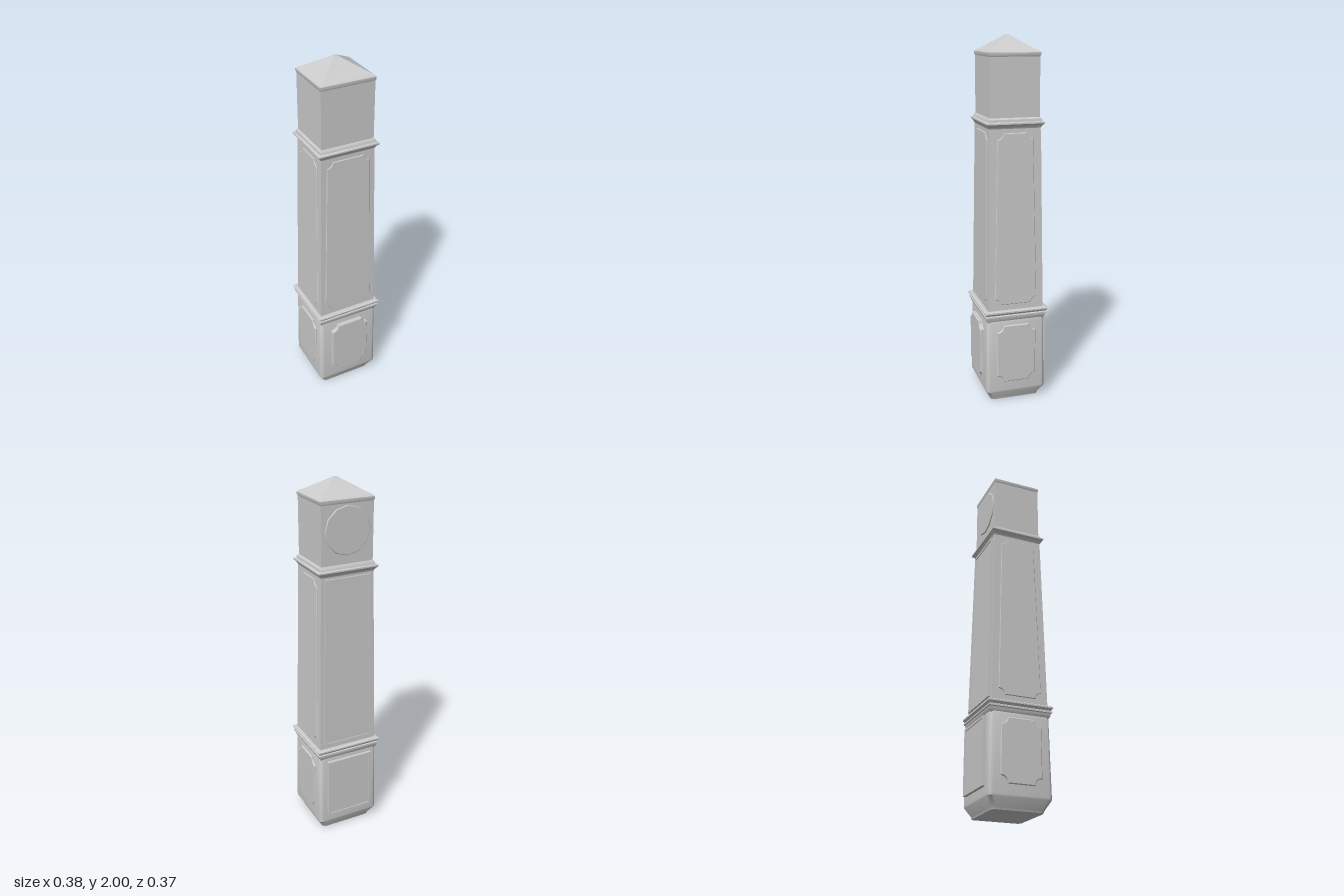
import * as THREE from 'three';
import { toCreasedNormals } from 'three/addons/utils/BufferGeometryUtils.js';

const material = new THREE.MeshStandardMaterial({ color: 0xcccccc });

// Stack of rectangles [y, halfX, halfZ], with optional rounded corners
function loft(name, rows, radius = 0) {
  const segs = radius ? 5 : 0;
  const n = 4 * (segs + 1);
  const pos = [], index = [];
  for (const [y, hx, hz] of rows) {
    for (let q = 0; q < 4; q++) {
      const sx = q === 0 || q === 3 ? 1 : -1, sz = q < 2 ? 1 : -1;
      for (let s = 0; s <= segs; s++) {
        const a = (q + (segs ? s / segs : 0.5)) * Math.PI / 2;
        pos.push(sx * (hx - radius) + radius * Math.cos(a), y, sz * (hz - radius) + radius * Math.sin(a));
      }
    }
  }
  const last = rows.length - 1, bottom = rows.length * n;
  pos.push(0, rows[0][0], 0, 0, rows[last][0], 0);
  for (let i = 0; i < n; i++) {
    const j = (i + 1) % n;
    for (let r = 0; r < last; r++) {
      const a = r * n + i, b = r * n + j;
      index.push(a, a + n, b, b, a + n, b + n);
    }
    index.push(bottom, i, j, bottom + 1, last * n + j, last * n + i);
  }
  const geo = new THREE.BufferGeometry();
  geo.setAttribute('position', new THREE.Float32BufferAttribute(pos, 3));
  geo.setIndex(index);
  const mesh = new THREE.Mesh(toCreasedNormals(geo, 0.5), material);
  mesh.name = name;
  return mesh;
}

// Tapered panel outline standing on y = 0, corners scooped inwards by radius r
function outline(wBottom, wTop, h, r = 0, inset = 0, Type = THREE.Shape) {
  const b = wBottom - inset, t = wTop - inset, lo = inset, hi = h - inset;
  const s = new Type();
  if (!r) {
    s.moveTo(-b, lo).lineTo(b, lo).lineTo(t, hi).lineTo(-t, hi).closePath();
    return s;
  }
  const P = Math.PI;
  s.moveTo(-b + r, lo).lineTo(b - r, lo);
  s.absarc(b, lo, r, P, P / 2, true);
  s.lineTo(t, hi - r);
  s.absarc(t, hi, r, -P / 2, -P, true);
  s.lineTo(-t + r, hi);
  s.absarc(-t, hi, r, 0, -P / 2, true);
  s.lineTo(-b, lo + r);
  s.absarc(-b, lo, r, P / 2, 0, true);
  return s;
}

// Extruded plate whose front lies on z = 0
function plate(name, shape, depth, bevel = 0) {
  const geo = new THREE.ExtrudeGeometry(shape, {
    depth: depth - bevel, curveSegments: 6, bevelEnabled: bevel > 0,
    bevelThickness: bevel, bevelSize: bevel, bevelOffset: -bevel, bevelSegments: 1,
  });
  geo.translate(0, 0, -depth);
  const mesh = new THREE.Mesh(toCreasedNormals(geo, 0.5), material);
  mesh.name = name;
  return mesh;
}

// Hang a part on one side of the case, leaning inwards by tilt
function mount(part, angle, y, distance, tilt = 0) {
  const holder = new THREE.Group();
  holder.name = part.name + 'Mount';
  holder.rotation.y = angle;
  part.position.set(0, y, distance);
  part.rotation.x = -tilt;
  holder.add(part);
  return holder;
}

// Rectangular door: raised frame around a slightly sunken plate
function door(name, wBottom, wTop, h) {
  const g = new THREE.Group();
  g.name = name;
  const frame = outline(wBottom, wTop, h);
  frame.holes.push(outline(wBottom, wTop, h, 0, 0.012, THREE.Path));
  const centre = plate(name + 'Centre', outline(wBottom, wTop, h, 0, 0.011), 0.012);
  centre.position.z = -0.005;
  g.add(plate(name + 'Frame', frame, 0.018), centre);
  return g;
}

export function createModel() {
  const group = new THREE.Group();
  group.name = 'longcaseClock';
  const body = new THREE.Group();
  body.name = 'case';
  body.position.z = -0.002;
  group.add(body);

  body.add(
    // Plinth with a chamfered foot and softened corners
    loft('plinth', [[0, 0.15, 0.138], [0.012, 0.153, 0.141], [0.06, 0.181, 0.169], [0.07, 0.182, 0.17],
      [0.47, 0.177, 0.164], [0.49, 0.172, 0.16]], 0.022),
    // Lower moulding
    loft('waistMoulding', [[0.475, 0.17, 0.158], [0.488, 0.178, 0.166], [0.503, 0.181, 0.169], [0.506, 0.187, 0.174],
      [0.514, 0.187, 0.174], [0.518, 0.182, 0.169], [0.524, 0.185, 0.172], [0.53, 0.191, 0.178],
      [0.538, 0.191, 0.178], [0.543, 0.183, 0.17]]),
    // Tapering trunk
    loft('trunk', [[0.535, 0.171, 0.155], [1.55, 0.151, 0.139]]),
    // Upper moulding
    loft('hoodMoulding', [[1.532, 0.152, 0.14], [1.542, 0.156, 0.144], [1.556, 0.171, 0.156], [1.563, 0.171, 0.156],
      [1.567, 0.158, 0.146], [1.58, 0.156, 0.143], [1.588, 0.148, 0.136]]),
    // Hood and its pyramid roof
    loft('hood', [[1.58, 0.147, 0.135], [1.905, 0.147, 0.135]]),
    loft('roof', [[1.895, 0.147, 0.135], [1.904, 0.151, 0.138], [1.916, 0.151, 0.138], [1.924, 0.142, 0.13],
      [1.932, 0.127, 0.113], [1.996, 0.017, 0.016], [2, 0.013, 0.012]]),
  );

  // Scooped panels on the front and both sides
  const sides = [
    { name: 'front', angle: 0, trunk: [0.143, 0.121], base: 0.114, trunkAt: 0.159, baseAt: 0.187, tilt: 0.0158 },
    { name: 'left', angle: Math.PI / 2, trunk: [0.118, 0.098], base: 0.111, trunkAt: 0.175, baseAt: 0.188, tilt: 0.0197 },
    { name: 'right', angle: -Math.PI / 2, trunk: [0.118, 0.098], base: 0.111, trunkAt: 0.175, baseAt: 0.188, tilt: 0.0197 },
  ];
  for (const s of sides) {
    const trunkPanel = plate(s.name + 'TrunkPanel', outline(...s.trunk, 0.935, 0.032), 0.014, 0.003);
    const basePanel = plate(s.name + 'BasePanel', outline(s.base, s.base, 0.335, 0.038), 0.025, 0.004);
    body.add(mount(trunkPanel, s.angle, 0.575, s.trunkAt, s.tilt), mount(basePanel, s.angle, 0.12, s.baseAt));
  }

  // Framed doors and the dial on the back
  body.add(
    mount(door('trunkDoor', 0.148, 0.13, 0.955), Math.PI, 0.565, 0.164, 0.0158),
    mount(door('baseDoor', 0.135, 0.135, 0.355), Math.PI, 0.11, 0.187),
  );
  const disc = new THREE.Shape().absarc(0, 0, 0.128, 0, Math.PI * 2, false);
  const dial = plate('dial', disc, 0.012, 0.003);
  body.add(mount(dial, Math.PI, 1.76, 0.141));

  return group;
}
